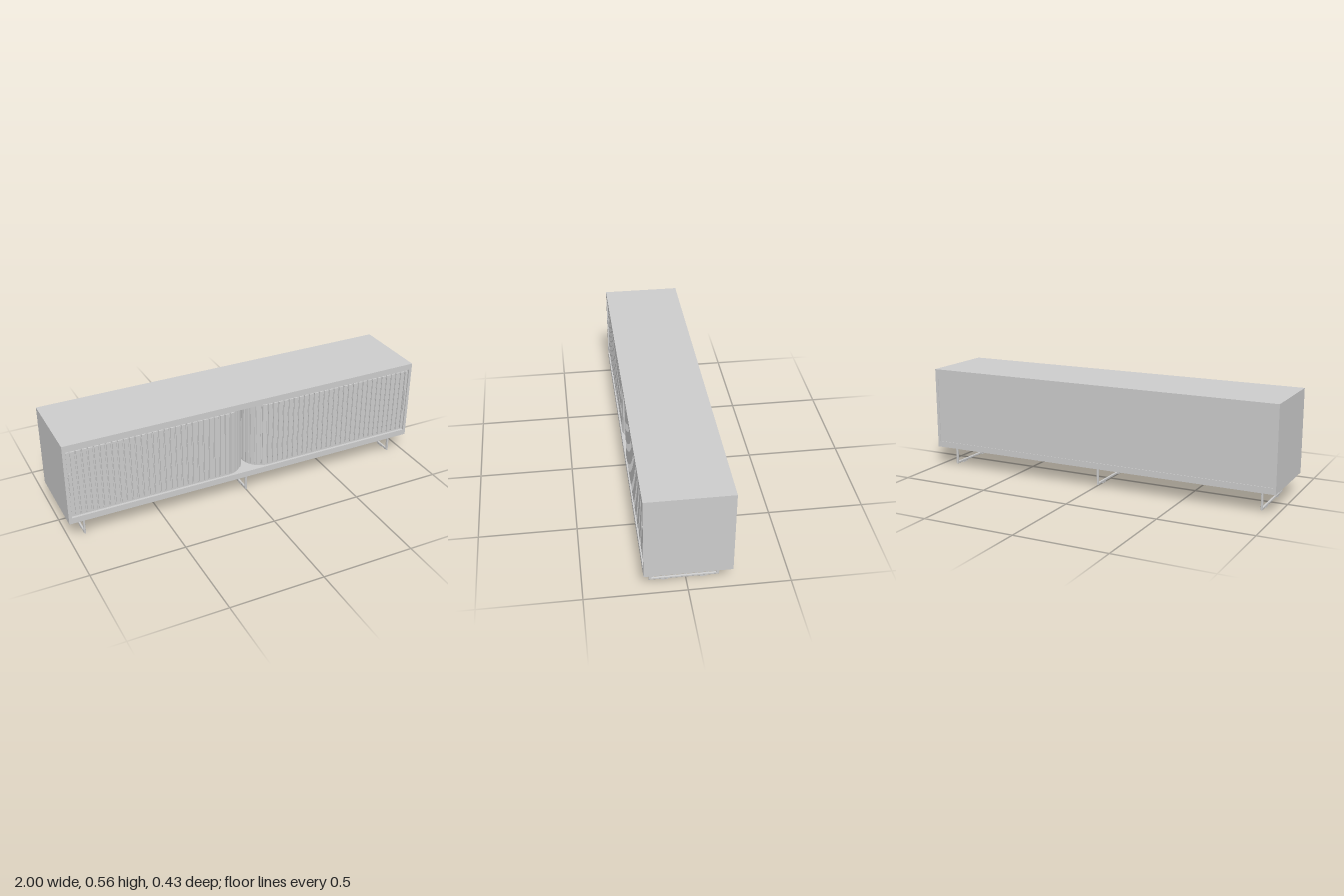
import * as THREE from 'three';

const material = new THREE.MeshStandardMaterial({ color: 0xcccccc });

function add(parent, name, geometry, x = 0, y = 0, z = 0) {
  const mesh = new THREE.Mesh(geometry, material);
  mesh.name = name;
  mesh.position.set(x, y, z);
  parent.add(mesh);
  return mesh;
}

// Box given by its lower and upper corners
function box(parent, name, [x0, y0, z0], [x1, y1, z1]) {
  return add(parent, name, new THREE.BoxGeometry(x1 - x0, y1 - y0, z1 - z0),
    (x0 + x1) / 2, (y0 + y1) / 2, (z0 + z1) / 2);
}

// Sliding-door track: straight along the front, then a quarter turn into the cabinet
const FRONT = 0.199, RADIUS = 0.108, BEND_X = 0.12, END_X = 0.984;
const ARC = RADIUS * Math.PI / 2;

function trackPoint(distance) {
  const straight = END_X - BEND_X;
  if (distance <= straight) return { x: END_X - distance, z: FRONT, angle: 0 };
  const angle = Math.min((distance - straight) / RADIUS, Math.PI / 2);
  const past = Math.max(0, distance - straight - ARC);
  return {
    x: BEND_X - RADIUS * Math.sin(angle),
    z: FRONT - RADIUS + RADIUS * Math.cos(angle) - past,
    angle: -angle,
  };
}

function tambourDoor(side) {
  const door = new THREE.Group();
  door.name = side > 0 ? 'leftDoor' : 'rightDoor';

  // Curved backing sheet
  const outer = [new THREE.Vector2(side * END_X, -FRONT)];
  const inner = [new THREE.Vector2(side * END_X, -FRONT + 0.01)];
  for (let i = 0; i <= 16; i++) {
    const a = i / 16 * Math.PI / 2;
    for (const [list, r] of [[outer, RADIUS], [inner, RADIUS - 0.01]]) {
      list.push(new THREE.Vector2(side * (BEND_X - r * Math.sin(a)), -(FRONT - RADIUS + r * Math.cos(a))));
    }
  }
  outer.push(new THREE.Vector2(side * (BEND_X - RADIUS), 0.2));
  inner.push(new THREE.Vector2(side * (BEND_X - RADIUS + 0.01), 0.2));
  const sheet = new THREE.ExtrudeGeometry(new THREE.Shape([...outer, ...inner.reverse()]),
    { depth: 0.384, bevelEnabled: false });
  sheet.rotateX(-Math.PI / 2);
  add(door, 'doorBacking', sheet, 0, 0.143, 0);

  // Vertical slats with slightly chamfered fronts
  const profile = new THREE.Shape([[-0.0115, 0], [0.0115, 0], [0.0115, -0.006], [0.0095, -0.008],
    [-0.0095, -0.008], [-0.0115, -0.006]].map(([x, y]) => new THREE.Vector2(x, y)));
  const slat = new THREE.ExtrudeGeometry(profile, { depth: 0.362, bevelEnabled: false });
  slat.rotateX(-Math.PI / 2);
  const pitch = 0.0305, first = 0.036;
  for (let i = 0; first + i * pitch < END_X - BEND_X + ARC + 0.03; i++) {
    const p = trackPoint(first + i * pitch);
    const mesh = add(door, 'slat', slat, side * p.x, 0.154, p.z);
    mesh.rotation.y = side * p.angle;
  }

  // End stile and upright grip
  const stileX = side * 0.974;
  add(door, 'endStile', new THREE.BoxGeometry(0.016, 0.362, 0.008), stileX, 0.335, FRONT + 0.004);
  add(door, 'handle', new THREE.BoxGeometry(0.01, 0.13, 0.01), stileX, 0.335, FRONT + 0.009);
  return door;
}

function rectangle(Type, z0, y0, z1, y1) {
  const path = new Type();
  path.moveTo(z0, y0);
  path.lineTo(z1, y0);
  path.lineTo(z1, y1);
  path.lineTo(z0, y1);
  path.closePath();
  return path;
}

function sledLeg(x) {
  const leg = new THREE.Group();
  leg.name = 'leg';
  leg.position.x = x;

  // Bevelled rectangular loop
  const bevel = 0.003;
  const loop = rectangle(THREE.Shape, -0.18 + bevel, 0.005 + bevel, 0.162 - bevel, 0.105 - bevel);
  loop.holes.push(rectangle(THREE.Path, -0.166 - bevel, 0.018 - bevel, 0.148 + bevel, 0.092 + bevel));
  const frame = new THREE.ExtrudeGeometry(loop,
    { depth: 0.004, bevelThickness: bevel, bevelSize: bevel, bevelSegments: 2 });
  frame.translate(0, 0, -0.002);
  frame.rotateY(Math.PI / 2);
  add(leg, 'legFrame', frame);

  // Mounting plate and two floor pads
  box(leg, 'mountingPlate', [-0.004, 0.103, -0.102], [0.004, 0.111, 0.12]);
  for (const z of [0.087, -0.102]) box(leg, 'floorPad', [-0.004, 0, z], [0.004, 0.009, z + 0.033]);
  return leg;
}

export function createModel() {
  const model = new THREE.Group();
  model.name = 'sideboard';

  // Carcass
  box(model, 'topPanel', [-1, 0.527, -0.213], [1, 0.56, 0.213]);
  box(model, 'bottomPanel', [-1, 0.11, -0.213], [1, 0.143, 0.213]);
  box(model, 'leftSide', [0.984, 0.143, -0.213], [1, 0.527, 0.213]);
  box(model, 'rightSide', [-1, 0.143, -0.213], [-0.984, 0.527, 0.213]);
  box(model, 'backPanel', [-0.984, 0.143, -0.21], [0.984, 0.527, -0.198]);

  // Doors curving inward at the centre
  for (const side of [1, -1]) model.add(tambourDoor(side));
  box(model, 'centrePartition', [-0.004, 0.143, -0.198], [0.004, 0.527, 0.08]);

  // Three sled legs
  for (const x of [-0.915, -0.002, 0.912]) model.add(sledLeg(x));
  return model;
}
